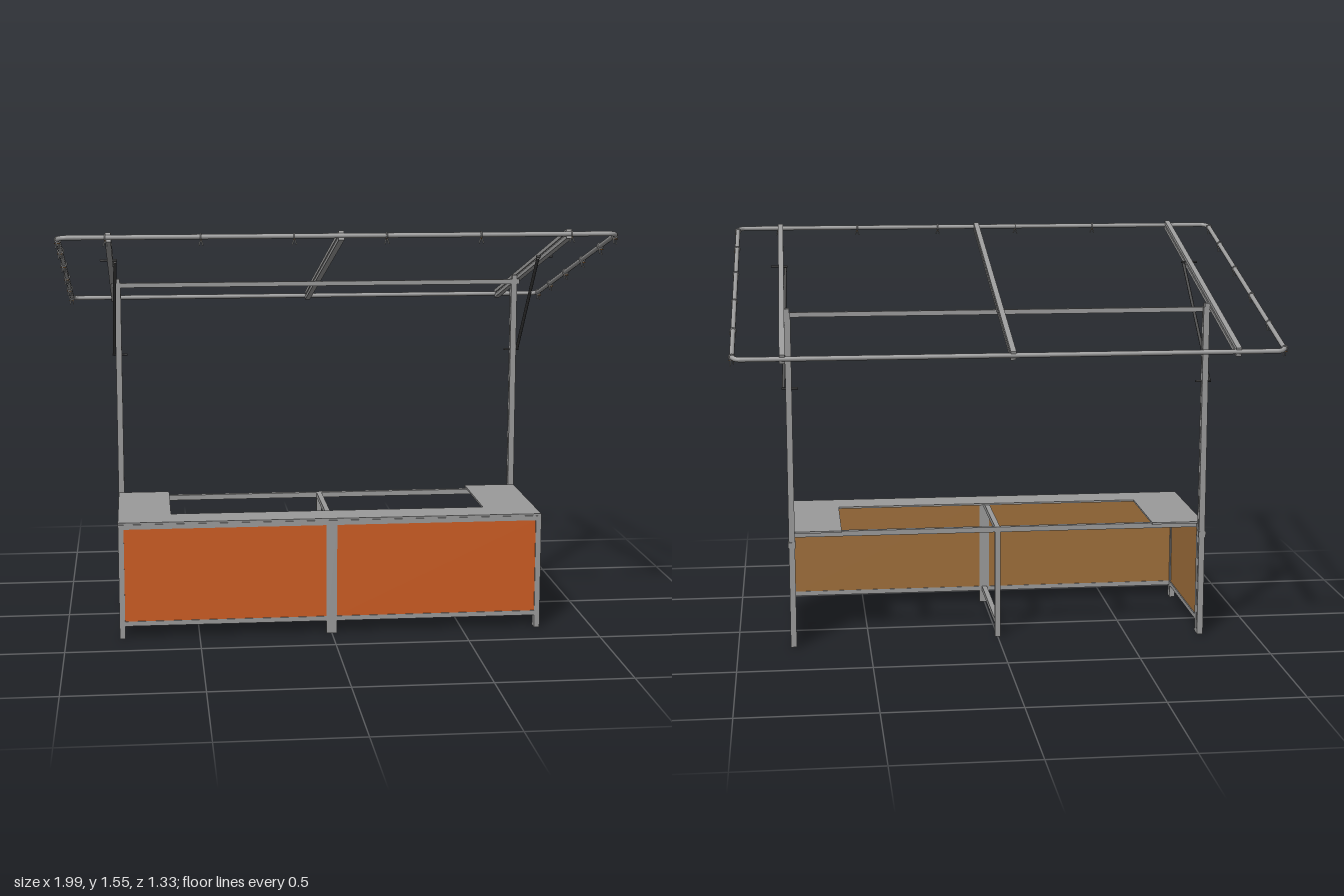
import * as THREE from 'three';

export function createModel() {
  const model = new THREE.Group();
  const mat = (name, color, opts = {}) => {
    const m = new THREE.MeshStandardMaterial({ color, ...opts });
    m.name = name;
    return m;
  };
  const grey = mat('aluminium grey', 0x9a9a9a);
  const dark = mat('dark steel', 0x3c3c3c);
  const orange = mat('panel orange', 0xcc5c22);
  const brown = mat('panel brown', 0x9e6e3a);

  const add = (parent, name, geometry, material, x = 0, y = 0, z = 0) => {
    const mesh = new THREE.Mesh(geometry, material);
    mesh.name = name;
    mesh.position.set(x, y, z);
    parent.add(mesh);
    return mesh;
  };
  // box given by its min and max along each axis
  const block = (parent, name, material, [x0, x1], [y0, y1], [z0, z1]) =>
    add(parent, name, new THREE.BoxGeometry(x1 - x0, y1 - y0, z1 - z0), material,
      (x0 + x1) / 2, (y0 + y1) / 2, (z0 + z1) / 2);
  // round bar between two points
  const rod = (parent, name, a, b, r, material, sides = 10) => {
    const p = new THREE.Vector3(...a), q = new THREE.Vector3(...b);
    const mesh = add(parent, name, new THREE.CylinderGeometry(r, r, p.distanceTo(q), sides), material);
    mesh.position.copy(p).add(q).multiplyScalar(0.5);
    mesh.quaternion.setFromUnitVectors(new THREE.Vector3(0, 1, 0), q.sub(p).normalize());
    return mesh;
  };
  // slotted profile, w by h with a groove in each tall side, centred along z
  const slotted = (w, h, length) => {
    const a = w / 2, b = h / 2, g = 0.003, s = 0.004;
    const half = [[a, -b], [a, -g], [a - s, -g], [a - s, g], [a, g], [a, b]];
    const pts = [...half, ...half.map(([x, y]) => [-x, -y])].map(p => new THREE.Vector2(...p));
    return new THREE.ExtrudeGeometry(new THREE.Shape(pts), { depth: length, bevelEnabled: false })
      .translate(0, 0, -length / 2);
  };
  const mirror = (s, a, b) => (s > 0 ? [a, b] : [-b, -a]);

  // ---- counter ----
  const counter = new THREE.Group();
  counter.name = 'counter';
  model.add(counter);

  // U-shaped worktop
  const u = new THREE.Shape([[-0.8, -0.345], [0.8, -0.345], [0.8, 0.19], [0.6, 0.19],
    [0.6, -0.21], [-0.6, -0.21], [-0.6, 0.19], [-0.8, 0.19]].map(p => new THREE.Vector2(...p)));
  add(counter, 'worktop',
    new THREE.ExtrudeGeometry(u, { depth: 0.007, bevelEnabled: false }).rotateX(-Math.PI / 2), grey, 0, 0.438, 0);

  block(counter, 'frontTopRail', grey, [-0.8, 0.8], [0.42, 0.438], [0.328, 0.348]);
  block(counter, 'frontBottomRail', grey, [-0.8, 0.8], [0.048, 0.066], [0.328, 0.348]);
  block(counter, 'backTopRail', grey, [-0.78, 0.78], [0.418, 0.438], [-0.166, -0.146]);

  // middle support frame
  block(counter, 'middleFrontLeg', grey, [-0.02, 0.02], [0, 0.438], [0.328, 0.349]);
  block(counter, 'middleBackLeg', grey, [-0.01, 0.01], [0, 0.42], [-0.166, -0.146]);
  for (const y of [0.048, 0.418])
    block(counter, 'middleCrossRail', grey, [-0.01, 0.01], [y, y + 0.019], [-0.146, 0.328]);

  for (const s of [1, -1]) {
    const leg = mirror(s, 0.779, 0.8);
    block(counter, 'frontLeg', grey, leg, [0, 0.438], [0.312, 0.35]);
    block(counter, 'backLeg', grey, leg, [0, 0.438], [-0.188, -0.167]);
    block(counter, 'sideTopRail', grey, leg, [0.414, 0.4385], [-0.167, 0.312]);
    block(counter, 'sideBottomRail', grey, leg, [0.048, 0.066], [-0.167, 0.312]);
    // panels: orange outside, brown inside
    const side = s > 0 ? [orange, brown] : [brown, orange];
    block(counter, 'sidePanel', [...side, brown, brown, brown, brown],
      mirror(s, 0.783, 0.797), [0.066, 0.414], [-0.167, 0.312]);
    block(counter, 'frontPanel', [brown, brown, brown, brown, orange, brown],
      mirror(s, 0.02, 0.78), [0.066, 0.42], [0.33, 0.345]);
  }

  // ---- posts, upper rail and braces ----
  const supports = new THREE.Group();
  supports.name = 'roofSupports';
  model.add(supports);
  block(supports, 'upperCrossRail', grey, [-0.78, 0.78], [1.266, 1.284], [-0.202, -0.186]);
  for (const s of [1, -1]) {
    add(supports, 'post', slotted(0.023, 0.031, 1.285).rotateX(-Math.PI / 2), grey, s * 0.7895, 0.6425, -0.2035);
    block(supports, 'postBracket', grey, mirror(s, 0.776, 0.804), [0.39, 0.412], [-0.222, -0.186]);
    block(supports, 'roofBracket', grey, mirror(s, 0.782, 0.812), [1.265, 1.3], [-0.222, -0.19]);
    rod(supports, 'brace', [s * 0.808, 1.0, -0.205], [s * 0.793, 1.405, 0.225], 0.006, dark);
    rod(supports, 'lowerBracePin', [s * 0.755, 1.0, -0.203], [s * 0.815, 1.0, -0.203], 0.004, dark);
    rod(supports, 'upperBracePin', [s * 0.785, 1.412, 0.232], [s * 0.848, 1.412, 0.232], 0.004, dark);
  }

  // ---- sloping roof frame ----
  const roof = new THREE.Group();
  roof.name = 'roofFrame';
  roof.position.y = 1.353;
  roof.rotation.x = -0.264;
  model.add(roof);

  for (const x of [-0.81, 0, 0.81])
    add(roof, 'roofBeam', slotted(0.02, 0.034, 1.355), grey, x, 0, 0);

  // outer tube with rounded corners
  const X = 0.983, Z = 0.673, R = 0.03, r = 0.009;
  for (const s of [1, -1]) {
    rod(roof, 'edgeTube', [-X + R, 0, s * Z], [X - R, 0, s * Z], r, grey, 12);
    rod(roof, 'sideTube', [s * X, 0, -Z + R], [s * X, 0, Z - R], r, grey, 12);
  }
  for (let k = 0; k < 4; k++) {
    const corner = add(roof, 'tubeCorner',
      new THREE.TorusGeometry(R, r, 12, 8, Math.PI / 2).rotateX(Math.PI / 2), grey,
      (k < 2 ? 1 : -1) * (X - R), 0, (k === 0 || k === 3 ? 1 : -1) * (Z - R));
    corner.rotation.y = k * Math.PI / 2;
  }

  // hanging clips on the front and side tubes
  const clip = (x, z, turn) => {
    const g = new THREE.Group();
    g.name = 'hangingClip';
    g.position.set(x, 0, z);
    g.rotation.y = turn;
    roof.add(g);
    add(g, 'clipRing', new THREE.TorusGeometry(0.0105, 0.003, 6, 12).rotateY(Math.PI / 2), grey);
    rod(g, 'clipProng', [0, -0.009, 0.004], [0.007, -0.032, 0.007], 0.0025, grey, 6);
    rod(g, 'clipProng', [0, -0.009, -0.004], [-0.007, -0.03, -0.005], 0.0025, grey, 6);
    rod(g, 'clipBolt', [0, -0.013, -0.007], [0, -0.013, 0.012], 0.002, brown, 6);
  };
  for (const x of [-0.82, -0.49, -0.165, 0.16, 0.495, 0.82]) clip(x, Z, 0);
  for (const s of [1, -1])
    for (const z of [-0.65, -0.412, -0.135, 0.15, 0.43, 0.64]) clip(s * X, z, s * Math.PI / 2);

  return model;
}
